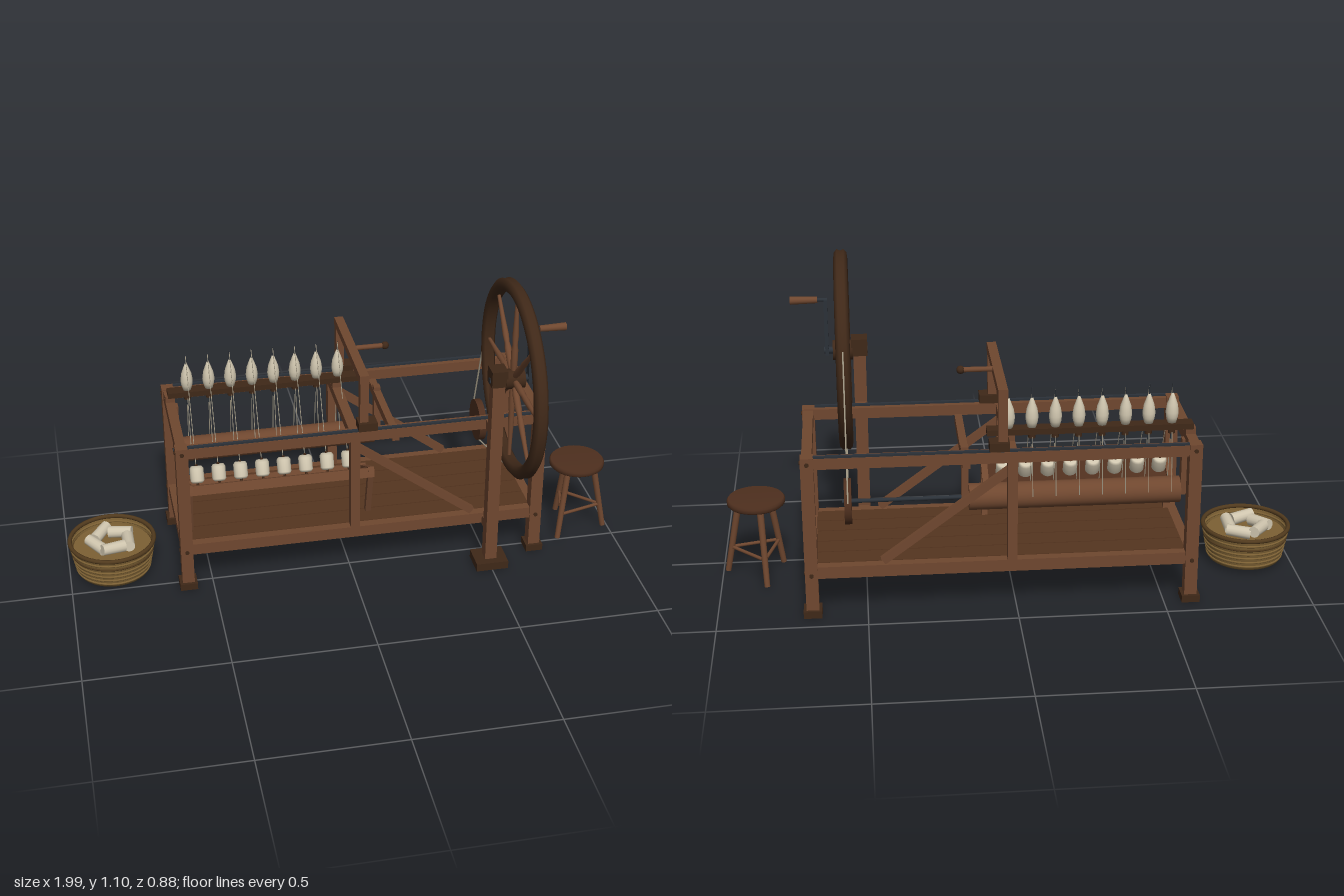
import * as THREE from 'three';

const V = (x, y, z) => new THREE.Vector3(x, y, z);

export function createModel() {
  const model = new THREE.Group();
  model.name = 'spinningMachine';
  const paint = (name, color, extra = {}) => {
    const m = new THREE.MeshStandardMaterial({ color, ...extra });
    m.name = name;
    return m;
  };
  const wood = paint('frameWood', 0x6f472f);
  const dark = paint('darkWood', 0x3f2818);
  const plank = paint('plankWood', 0x55351f);
  const seatWood = paint('seatWood', 0x4e2f1e);
  const steel = paint('steel', 0x2b3138);
  const yarn = paint('yarn', 0xcfc5ae);
  const thread = paint('thread', 0xaaa18c);
  const wicker = paint('wicker', 0x7d6134, { side: THREE.DoubleSide });
  const wickerDark = paint('wickerDark', 0x513a1d);

  const group = (name, parent = model) => {
    const g = new THREE.Group();
    g.name = name;
    parent.add(g);
    return g;
  };
  const add = (parent, name, geo, mat, x = 0, y = 0, z = 0) => {
    const m = new THREE.Mesh(geo, mat);
    m.name = name;
    m.position.set(x, y, z);
    parent.add(m);
    return m;
  };
  const box = (p, name, mat, sx, sy, sz, x, y, z) =>
    add(p, name, new THREE.BoxGeometry(sx, sy, sz), mat, x, y, z);
  // round bar between two points
  const bar = (p, name, mat, a, b, ra, rb = ra, seg = 12) => {
    const d = b.clone().sub(a);
    const m = add(p, name, new THREE.CylinderGeometry(rb, ra, d.length(), seg), mat);
    m.position.copy(a).lerp(b, 0.5);
    m.quaternion.setFromUnitVectors(V(0, 1, 0), d.normalize());
    return m;
  };
  // square bar between two points
  const beam = (p, name, mat, a, b, w, t) => {
    const d = b.clone().sub(a);
    const m = box(p, name, mat, w, d.length(), t, 0, 0, 0);
    m.position.copy(a).lerp(b, 0.5);
    m.quaternion.setFromUnitVectors(V(0, 1, 0), d.normalize());
    return m;
  };
  const lathe = (pts, seg) => new THREE.LatheGeometry(pts.map(p => new THREE.Vector2(...p)), seg);

  // Frame
  const ZF = 0.024, ZB = -0.41, XL = -0.59, XR = 0.683, XM = 0.015, ZC = (ZF + ZB) / 2;
  const frame = group('frame');
  for (const z of [ZF, ZB]) {
    const out = z === ZF ? 1 : -1;
    for (const x of [XL, XR]) {
      box(frame, 'cornerPost', wood, 0.043, 0.57, 0.043, x, 0.288, z);
      box(frame, 'foot', dark, 0.062, 0.025, 0.064, x, 0.0125, z);
      for (const y of [0.552, 0.153]) {
        bar(frame, 'peg', dark, V(x, y, z + out * 0.02), V(x, y, z + out * 0.027), 0.007);
        const ox = Math.sign(x);
        bar(frame, 'peg', dark, V(x + ox * 0.02, y, z), V(x + ox * 0.025, y, z), 0.007);
      }
    }
    for (const [y, h] of [[0.551, 0.038], [0.16, 0.042]])
      box(frame, 'longRail', wood, XR - XL, h, 0.034, (XL + XR) / 2, y, z);
    box(frame, 'track', steel, 1.23, 0.008, 0.012, (XL + XR) / 2, 0.573, z + out * 0.009);
    box(frame, 'middlePost', wood, 0.033, 0.40, 0.034, XM, 0.35, z);
    beam(frame, 'brace', wood, V(0.02, 0.505, z), V(0.445, 0.19, z), 0.026, 0.022);
  }
  for (const x of [XL, XR])
    for (const [y, h] of [[0.551, 0.038], [0.153, 0.038]])
      box(frame, 'endRail', wood, 0.034, h, ZF - ZB, x, y, ZC);
  box(frame, 'middleRail', wood, 0.034, 0.034, ZF - ZB, XM, 0.549, ZC);

  // Floor boards
  const floor = group('floor');
  for (let i = 0; i < 5; i++)
    box(floor, 'floorBoard', plank, 1.235, 0.016, 0.077, (XL + XR) / 2, 0.175, -0.03 - i * 0.0815);
  box(floor, 'floorBatten', dark, 0.04, 0.02, 0.4, XM, 0.157, ZC);

  // Gantry with pull handle
  const gantry = group('carriage');
  for (const z of [ZF, ZB]) {
    box(gantry, 'carriageBlock', dark, 0.066, 0.03, 0.056, 0.058, 0.591, z);
    box(gantry, 'carriagePost', wood, 0.03, 0.165, 0.03, 0.046, 0.685, z);
  }
  box(gantry, 'carriageBar', wood, 0.032, 0.03, 0.465, 0.046, 0.772, ZC);
  bar(gantry, 'pullHandle', wood, V(0.055, 0.775, -0.195), V(0.165, 0.775, -0.195), 0.009);
  add(gantry, 'handleKnob', new THREE.SphereGeometry(0.014, 14, 10), dark, 0.168, 0.775, -0.195);

  // Drum, shaft, hangers and pulley
  const ZD = -0.312, YD = 0.365, XW = 0.555;
  const drive = group('drive');
  bar(drive, 'drum', wood, V(-0.56, YD, ZD), V(0.152, YD, ZD), 0.045, 0.045, 28);
  bar(drive, 'driveShaft', steel, V(-0.59, YD, ZD), V(0.575, YD, ZD), 0.007);
  bar(drive, 'pulley', seatWood, V(XW - 0.012, YD, ZD), V(XW + 0.012, YD, ZD), 0.077, 0.077, 36);
  box(drive, 'shaftCrossbar', wood, 0.026, 0.032, 0.41, 0.165, 0.52, ZC);
  for (const x of [-0.575, 0.165])
    box(drive, 'shaftHanger', wood, 0.024, 0.2, 0.03, x, 0.45, ZD);

  // Spindle rail, spindles, bobbins and threads
  const spinning = group('spindles');
  box(spinning, 'spindleRail', dark, 0.69, 0.02, 0.046, -0.253, 0.6, ZD);
  for (const x of [XL, XM])
    box(spinning, 'railSupport', wood, 0.034, 0.026, 0.03, x, 0.58, ZD);
  const copGeo = lathe([[0, 0.61], [0.014, 0.61], [0.02, 0.63], [0.022, 0.648], [0.018, 0.675],
    [0.009, 0.7], [0.004, 0.713], [0, 0.713]], 16);
  const creel = group('bobbinRack');
  const bobbinAt = V(0, 0.375, -0.11), tilt = -0.46;
  for (let i = 0; i < 8; i++) {
    const x = -0.527 + i * 0.078;
    add(spinning, 'yarnCop', copGeo, yarn, x, 0, ZD);
    bar(spinning, 'spindle', steel, V(x, 0.55, ZD), V(x, 0.748, ZD), 0.004, 0.0015, 8);
    bar(spinning, 'whorl', dark, V(x, 0.572, ZD), V(x, 0.588, ZD), 0.012, 0.012, 12);
    for (const s of [-1, 1])
      bar(spinning, 'driveBand', thread, V(x, 0.578, ZD + s * 0.012), V(x, YD + 0.01, ZD + s * 0.044), 0.0015, 0.0015, 5);
    bar(spinning, 'yarnThread', thread, V(x, 0.745, ZD), V(x, 0.405, -0.13), 0.0015, 0.0015, 5);
    const bobbin = group('bobbin', creel);
    bobbin.position.set(x, bobbinAt.y, bobbinAt.z);
    bobbin.rotation.x = tilt;
    add(bobbin, 'bobbinYarn', lathe([[0, -0.03], [0.019, -0.03], [0.025, -0.022], [0.025, 0.022], [0.019, 0.03], [0, 0.03]], 16), yarn);
    bar(bobbin, 'bobbinPin', dark, V(0, -0.055, 0), V(0, 0.036, 0), 0.005, 0.005, 8);
  }

  // Sloping bobbin rack
  const rackMid = -0.245;
  for (const [y, z] of [[0.37, -0.012], [0.308, -0.15]]) {
    const r = box(creel, 'rackRail', wood, 0.67, 0.034, 0.03, rackMid, y, z);
    r.rotation.x = tilt;
  }
  const slat = box(creel, 'rackBoard', seatWood, 0.65, 0.01, 0.14, rackMid, 0.333, -0.085);
  slat.rotation.x = tilt;
  for (const x of [-0.565, 0.08]) {
    beam(creel, 'rackSide', wood, V(x, 0.385, 0.0), V(x, 0.293, -0.172), 0.022, 0.026);
    beam(creel, 'rackLeg', wood, V(x, 0.375, -0.012), V(x, 0.15, -0.07), 0.02, 0.022);
  }

  // Wheel post
  const ZW = 0.096, YW = 0.755;
  const stand = group('wheelStand');
  box(stand, 'wheelPost', wood, 0.043, 0.76, 0.044, 0.5, 0.38, ZW);
  box(stand, 'wheelPostFoot', dark, 0.117, 0.03, 0.1, 0.5, 0.015, ZW);
  box(stand, 'bearingBlock', dark, 0.056, 0.06, 0.062, 0.5, 0.77, ZW);
  for (const y of [0.153, 0.551])
    box(stand, 'postTie', wood, 0.036, 0.036, 0.07, 0.5, y, 0.055);

  // Large wheel, turned about the x axis
  const wheel = group('wheel');
  wheel.position.set(XW, YW, ZW);
  const rim = add(wheel, 'rim', lathe([[0.304, -0.016], [0.318, -0.024], [0.335, -0.022], [0.347, -0.012], [0.342, 0],
    [0.347, 0.012], [0.335, 0.022], [0.318, 0.024], [0.304, 0.016], [0.304, -0.016]], 72), dark);
  rim.rotation.z = Math.PI / 2;
  const spokeGeo = lathe([[0.009, 0.02], [0.012, 0.06], [0.012, 0.11], [0.009, 0.13], [0.011, 0.16],
    [0.008, 0.23], [0.006, 0.308]], 10);
  for (let i = 0; i < 8; i++)
    add(wheel, 'spoke', spokeGeo, wood).rotation.x = i * Math.PI / 4;
  bar(wheel, 'hub', dark, V(-0.032, 0, 0), V(0.036, 0, 0), 0.035, 0.035, 24);
  bar(wheel, 'axle', steel, V(-0.085, 0, 0), V(0.066, 0, 0), 0.012, 0.012, 14);
  box(wheel, 'crankArm', steel, 0.012, 0.2, 0.03, 0.056, 0.085, 0);
  bar(wheel, 'crankPin', steel, V(0.05, 0.183, 0), V(0.09, 0.183, 0), 0.006);
  bar(wheel, 'crankGrip', wood, V(0.083, 0.183, 0), V(0.176, 0.183, 0), 0.011, 0.014, 14);

  // Drive belt along the outer tangents of wheel and pulley
  const R = 0.343, r = 0.078;
  const dz = ZD - ZW, dy = YD - YW, dist = Math.hypot(dz, dy);
  const dir = Math.atan2(dy, dz), open = Math.acos((R - r) / dist);
  for (const s of [-1, 1]) {
    const c = Math.cos(dir + s * open), n = Math.sin(dir + s * open);
    bar(model, 'driveBelt', thread, V(XW, YW + R * n, ZW + R * c), V(XW, YD + r * n, ZD + r * c), 0.003, 0.003, 6);
  }

  // Three-legged stool
  const stool = group('stool');
  stool.position.set(0.873, 0, -0.085);
  add(stool, 'seat', lathe([[0, 0.266], [0.094, 0.266], [0.1, 0.272], [0.1, 0.284], [0.095, 0.29], [0, 0.29]], 32), seatWood);
  const legPoint = (i, radius, y) => {
    const a = (15 + i * 120) * Math.PI / 180;
    return V(Math.cos(a) * radius, y, Math.sin(a) * radius - 0.004);
  };
  for (let i = 0; i < 3; i++) {
    bar(stool, 'stoolLeg', wood, legPoint(i, 0.115, 0.002), legPoint(i, 0.062, 0.272), 0.01, 0.012);
    bar(stool, 'stoolStretcher', wood, legPoint(i, 0.097, 0.095), legPoint(i + 1, 0.097, 0.095), 0.006, 0.006, 8);
  }

  // Basket with spare bobbins
  const basket = group('basket');
  basket.position.set(-0.842, 0, -0.125);
  add(basket, 'basketBody', lathe([[0, 0.014], [0.127, 0.014], [0.132, 0.03], [0.152, 0.135]], 36), wicker);
  const hoop = (name, radius, tube, y, mat) =>
    add(basket, name, new THREE.TorusGeometry(radius, tube, 8, 40), mat, 0, y, 0).rotation.x = Math.PI / 2;
  for (let i = 0; i < 6; i++)
    hoop('weaveRing', 0.132 + i * 0.0032, 0.004, 0.028 + i * 0.017, i === 4 ? wickerDark : wicker);
  hoop('basketRim', 0.15, 0.008, 0.134, wickerDark);
  add(basket, 'basketFilling', new THREE.CylinderGeometry(0.14, 0.13, 0.01, 32), wicker, 0, 0.1, 0);
  for (let i = 0; i < 5; i++) {
    const a = i * Math.PI * 0.4 + 0.3, t = a + 1.25;
    const c = V(Math.cos(a) * 0.06, 0.128 + (i % 2) * 0.006, Math.sin(a) * 0.06);
    const h = V(Math.cos(t) * 0.042, 0.004, Math.sin(t) * 0.042);
    bar(basket, 'spareBobbin', yarn, c.clone().sub(h), c.clone().add(h), 0.022, 0.02, 14);
  }
  return model;
}
